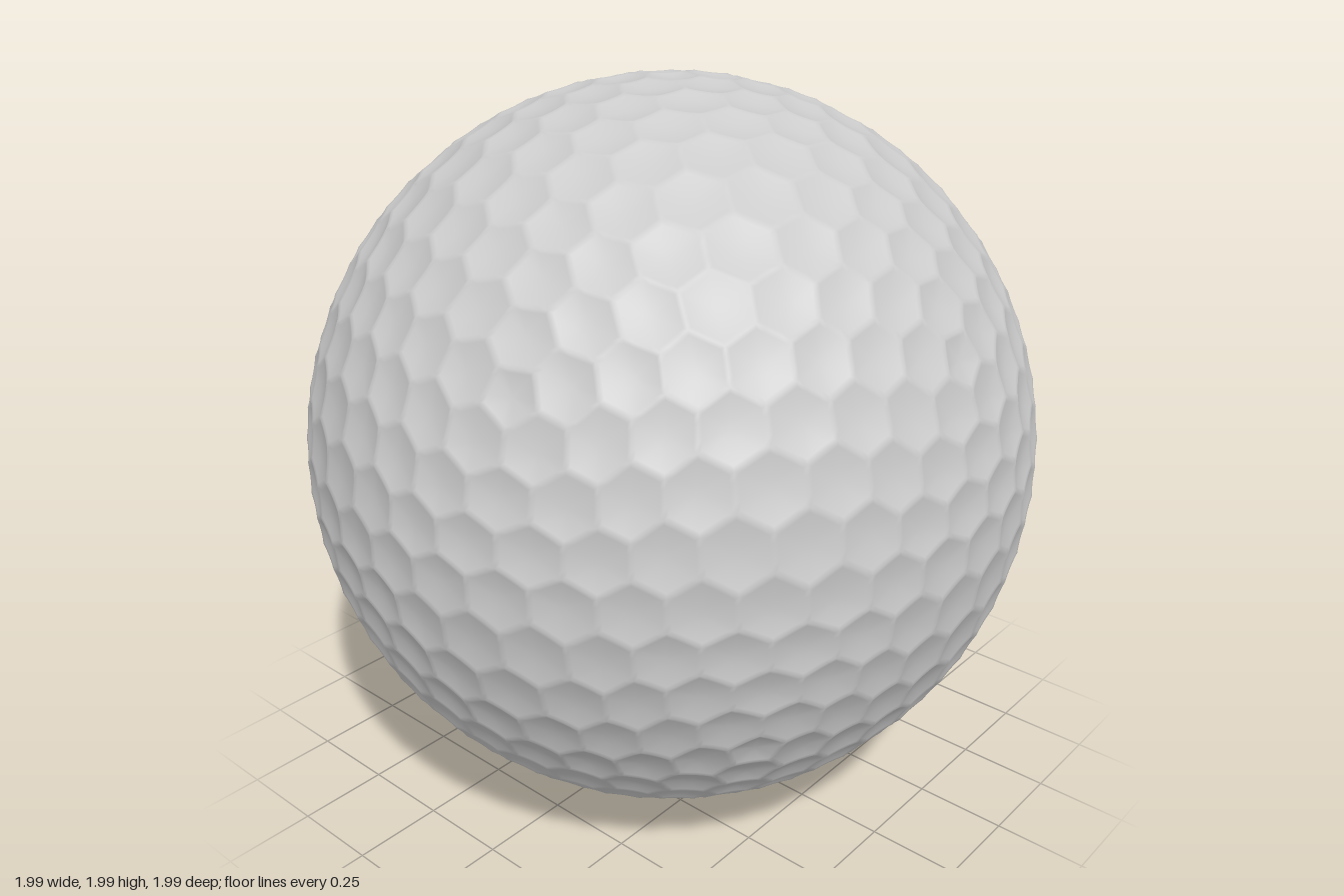
import * as THREE from 'three';
import { mergeVertices } from 'three/addons/utils/BufferGeometryUtils.js';

const DEPTH = 0.014;   // dimple centre below the sphere
const SAG = 0.003;     // ridge midpoint below the sphere
const SEGMENTS = 4;    // points along each ridge
const RINGS = [0.32, 0.62, 0.87, 1];

// Icosahedron with its poles on y, split by repeated midpoints on the unit sphere
function icosphere(levels) {
  const points = [new THREE.Vector3(0, 1, 0)];
  const h = 1 / Math.sqrt(5);
  for (let i = 0; i < 10; i++) {
    const a = (i * Math.PI) / 5;
    points.push(new THREE.Vector3(2 * h * Math.cos(a), i % 2 ? -h : h, 2 * h * Math.sin(a)));
  }
  points.push(new THREE.Vector3(0, -1, 0));

  let faces = [];
  const ring = (i) => 1 + (i % 10);
  for (let i = 0; i < 10; i++) {
    faces.push([ring(i), ring(i + 1), ring(i + 2)]);
    faces.push([i % 2 ? 11 : 0, ring(i), ring(i + 2)]);
  }

  for (let l = 0; l < levels; l++) {
    const cache = new Map();
    const middle = (a, b) => {
      const key = Math.min(a, b) + '_' + Math.max(a, b);
      if (!cache.has(key)) {
        cache.set(key, points.length);
        points.push(points[a].clone().add(points[b]).normalize());
      }
      return cache.get(key);
    };
    faces = faces.flatMap(([a, b, c]) => {
      const ab = middle(a, b), bc = middle(b, c), ca = middle(c, a);
      return [[a, ab, ca], [ab, b, bc], [ca, bc, c], [ab, bc, ca]];
    });
  }
  return { points, faces };
}

// Weighted mix of two directions, exact at both ends
function mix(a, b, t) {
  return a.clone().multiplyScalar(1 - t).addScaledVector(b, t).normalize();
}

// Points along the ridge between two cell corners, the same from either side
function ridge(corners, a, b) {
  const list = [];
  const flip = a > b;
  for (let k = 0; k < SEGMENTS; k++) {
    const e = flip ? 1 - k / SEGMENTS : k / SEGMENTS;
    const dir = flip ? mix(corners[b], corners[a], e) : mix(corners[a], corners[b], e);
    list.push({ dir, drop: SAG * 4 * e * (1 - e) });
  }
  return list;
}

function dimpledSphere() {
  const { points, faces } = icosphere(3);
  const corners = faces.map(([a, b, c]) =>
    points[a].clone().add(points[b]).add(points[c]).normalize());
  const around = points.map(() => []);
  faces.forEach((face, f) => face.forEach((p) => around[p].push(f)));

  const positions = [];
  const triangle = (...list) => list.forEach((p) => positions.push(p.x, p.y, p.z));

  points.forEach((centre, p) => {
    // Corners of this cell, counter-clockwise from outside
    const u = corners[around[p][0]].clone().projectOnPlane(centre).normalize();
    const v = centre.clone().cross(u);
    const angle = (f) => Math.atan2(corners[f].dot(v), corners[f].dot(u));
    const loop = [...around[p]].sort((a, b) => angle(a) - angle(b));
    const rim = loop.flatMap((f, i) => ridge(corners, f, loop[(i + 1) % loop.length]));

    // Concave bowl from the centre out to the ridges
    const bowl = RINGS.map((t) => rim.map(({ dir, drop }) => {
      const d = t === 1 ? dir.clone() : mix(centre, dir, t);
      return d.multiplyScalar(1 - (DEPTH * (1 - t * t) + drop * t * t));
    }));
    const bottom = centre.clone().multiplyScalar(1 - DEPTH);
    for (let i = 0; i < rim.length; i++) {
      const j = (i + 1) % rim.length;
      triangle(bottom, bowl[0][i], bowl[0][j]);
      for (let r = 1; r < RINGS.length; r++) {
        triangle(bowl[r - 1][i], bowl[r][i], bowl[r][j]);
        triangle(bowl[r - 1][i], bowl[r][j], bowl[r - 1][j]);
      }
    }
  });

  const geometry = new THREE.BufferGeometry();
  geometry.setAttribute('position', new THREE.Float32BufferAttribute(positions, 3));
  const merged = mergeVertices(geometry, 1e-5);
  merged.computeVertexNormals();
  return merged;
}

export function createModel() {
  const group = new THREE.Group();
  group.name = 'golfBall';
  const ball = new THREE.Mesh(dimpledSphere(), new THREE.MeshStandardMaterial({ color: 0xcccccc }));
  ball.name = 'dimpledBall';
  ball.position.y = 1;
  group.add(ball);
  return group;
}
